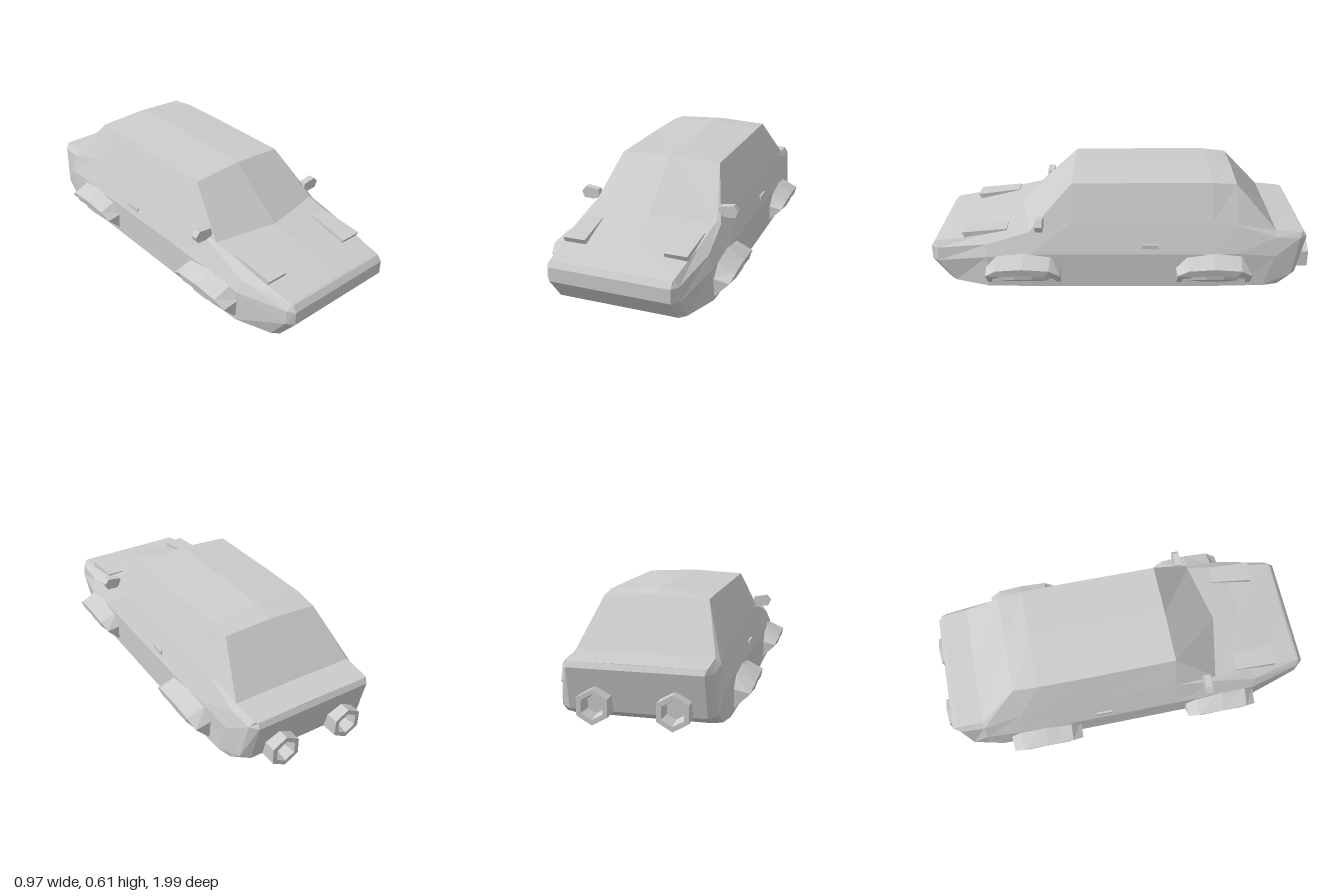
import * as THREE from 'three';

const grey = () => new THREE.MeshStandardMaterial({ color: 0xcccccc, flatShading: true, side: THREE.DoubleSide });

// Builds flat-shaded triangles between rows of points; closed rows wrap round, caps fill symmetric rings.
function loft(rows, closed, caps) {
  const out = [];
  const tri = (...ps) => ps.forEach(p => out.push(...p));
  const quad = (a, b, c, d) => { tri(a, b, c); tri(a, c, d); };
  const n = rows[0].length;
  for (let i = 0; i < rows.length - 1; i++)
    for (let j = 0; j < (closed ? n : n - 1); j++) {
      const k = (j + 1) % n;
      quad(rows[i][j], rows[i + 1][j], rows[i + 1][k], rows[i][k]);
    }
  if (caps) {
    const f = rows[0], b = rows[rows.length - 1];
    for (let j = 0; j < (n - 1) / 2; j++) {
      quad(f[j], f[j + 1], f[n - 2 - j], f[n - 1 - j]);
      quad(b[n - 1 - j], b[n - 2 - j], b[j + 1], b[j]);
    }
  }
  const g = new THREE.BufferGeometry();
  g.setAttribute('position', new THREE.Float32BufferAttribute(out, 3));
  g.computeVertexNormals();
  return g;
}

// Reflects a geometry across x = 0, keeping its faces outward.
function mirrored(geo) {
  const g = geo.index ? geo.toNonIndexed() : geo.clone();
  const p = g.attributes.position;
  const v = i => new THREE.Vector3().fromBufferAttribute(p, i);
  for (let i = 0; i < p.count; i += 3) {
    const [a, b, c] = [v(i), v(i + 2), v(i + 1)];
    [a, b, c].forEach((q, k) => p.setXYZ(i + k, -q.x, q.y, q.z));
  }
  g.computeVertexNormals();
  return g;
}

// One body ring: floor edge, widest point, belt, upper edge, centre line. Points are [x, y, z?].
function ring(z, floor, waist, belt, upper, centre) {
  const half = [floor, waist, belt, upper, centre].map(([x, y, pz = z]) => [x, y, pz]);
  return [...half, ...half.slice(0, 4).reverse().map(([x, y, pz]) => [-x, y, pz])];
}

function bodyGeometry() {
  const F = 0.085;
  return loft([
    // nose
    ring(0.99, [0.30, F, 0.90], [0.30, 0.20], [0.30, 0.27], [0.30, 0.298, 0.967], [0, 0.298, 0.967]),
    ring(0.955, [0.33, F, 0.87], [0.33, 0.20], [0.325, 0.27], [0.302, 0.302], [0, 0.304]),
    // bonnet
    ring(0.69, [0.395, F], [0.392, 0.25], [0.365, 0.31], [0.318, 0.345], [0, 0.36]),
    ring(0.47, [0.40, F], [0.40, 0.27], [0.352, 0.375], [0.33, 0.388], [0, 0.392, 0.54]),
    // roof
    ring(0.25, [0.40, F], [0.40, 0.27], [0.345, 0.42], [0.268, 0.608], [0, 0.622]),
    ring(-0.2, [0.40, F], [0.40, 0.27], [0.345, 0.42], [0.27, 0.611], [0, 0.632]),
    ring(-0.47, [0.40, F], [0.40, 0.27], [0.345, 0.42], [0.268, 0.611], [0, 0.632]),
    ring(-0.595, [0.395, F], [0.395, 0.27], [0.345, 0.41], [0.258, 0.60], [0, 0.612]),
    // boot and tail
    ring(-0.8, [0.39, F, -0.74], [0.38, 0.25], [0.355, 0.345], [0.33, 0.375], [0, 0.378]),
    ring(-0.93, [0.37, F, -0.82], [0.365, 0.14, -0.89], [0.345, 0.335, -0.925], [0.325, 0.362, -0.94], [0, 0.364, -0.945]),
    ring(-0.965, [0.32, F, -0.84], [0.32, 0.13, -0.918], [0.315, 0.335], [0.31, 0.36, -0.95], [0, 0.362, -0.95]),
  ], true, true);
}

// Wheel, splayed so that its outer face points outward and down
function wheelGeometry(z) {
  const profile = [[0, -0.13], [0.145, -0.13], [0.16, -0.02], [0.145, 0], [0.09, 0.006], [0.07, -0.004], [0, -0.004]];
  const g = new THREE.LatheGeometry(profile.map(p => new THREE.Vector2(...p)), 10);
  return g.rotateZ(-Math.PI * 5 / 6).translate(0.345, 0.088, z);
}

// Flared arch: body edge, outer lip, inner lip
function archGeometry(z) {
  const strip = half => [...half, ...half.slice(0, -1).reverse().map(([x, y, d]) => [x, y, -d])]
    .map(([x, y, d]) => [x, y, z + d]);
  return loft([
    strip([[0.385, 0.11, 0.19], [0.38, 0.20, 0.195], [0.38, 0.262, 0.14], [0.375, 0.286, 0]]),
    strip([[0.40, 0.11, 0.19], [0.468, 0.18, 0.19], [0.482, 0.215, 0.135], [0.484, 0.225, 0]]),
    strip([[0.39, 0.10, 0.168], [0.45, 0.155, 0.16], [0.476, 0.178, 0.11], [0.476, 0.186, 0]]),
  ], false, false);
}

// Raised headlight wedge, narrowing towards the windscreen
function headlightGeometry() {
  const g = new THREE.BoxGeometry(1, 1, 1);
  const p = g.attributes.position;
  for (let i = 0; i < p.count; i++) {
    const front = p.getZ(i) > 0, top = p.getY(i) > 0, outer = p.getX(i) > 0;
    p.setXYZ(i,
      outer ? 0.312 : (front ? 0.2 : 0.222),
      top ? (front ? 0.352 : 0.374) : (front ? 0.322 : 0.335),
      front ? (top ? 0.825 : 0.81) : 0.59);
  }
  g.computeVertexNormals();
  return g;
}

function mirrorGeometry() {
  const outline = [[0.32, 0.41], [0.36, 0.397], [0.41, 0.40], [0.424, 0.432], [0.40, 0.46], [0.33, 0.45]];
  const shape = new THREE.Shape(outline.map(p => new THREE.Vector2(...p)));
  return new THREE.ExtrudeGeometry(shape, { depth: 0.036, bevelEnabled: false }).translate(0, 0, 0.395);
}

// Hexagonal exhaust with an open bore
function exhaustGeometry() {
  const profile = [[0.083, 0], [0.083, 0.14], [0.058, 0.14], [0.046, 0.08], [0, 0.08]];
  const g = new THREE.LatheGeometry(profile.map(p => new THREE.Vector2(...p)), 6);
  return g.rotateX(-Math.PI / 2).translate(0.183, 0.17, -0.86);
}

export function createModel() {
  const car = new THREE.Group();
  car.name = 'car';
  const material = grey();
  const add = (name, geometry) => {
    const m = new THREE.Mesh(geometry, material);
    m.name = name;
    car.add(m);
  };
  const pair = (name, geometry) => {
    add('left' + name, geometry);
    add('right' + name, mirrored(geometry));
  };

  add('body', bodyGeometry());
  for (const [end, z] of [['Front', 0.5], ['Rear', -0.48]]) {
    pair(end + 'Wheel', wheelGeometry(z));
    pair(end + 'Arch', archGeometry(z));
  }
  pair('Headlight', headlightGeometry());
  pair('Mirror', mirrorGeometry());
  pair('DoorHandle', new THREE.BoxGeometry(0.025, 0.022, 0.085).translate(0.38, 0.308, -0.152));
  pair('Exhaust', exhaustGeometry());
  return car;
}
